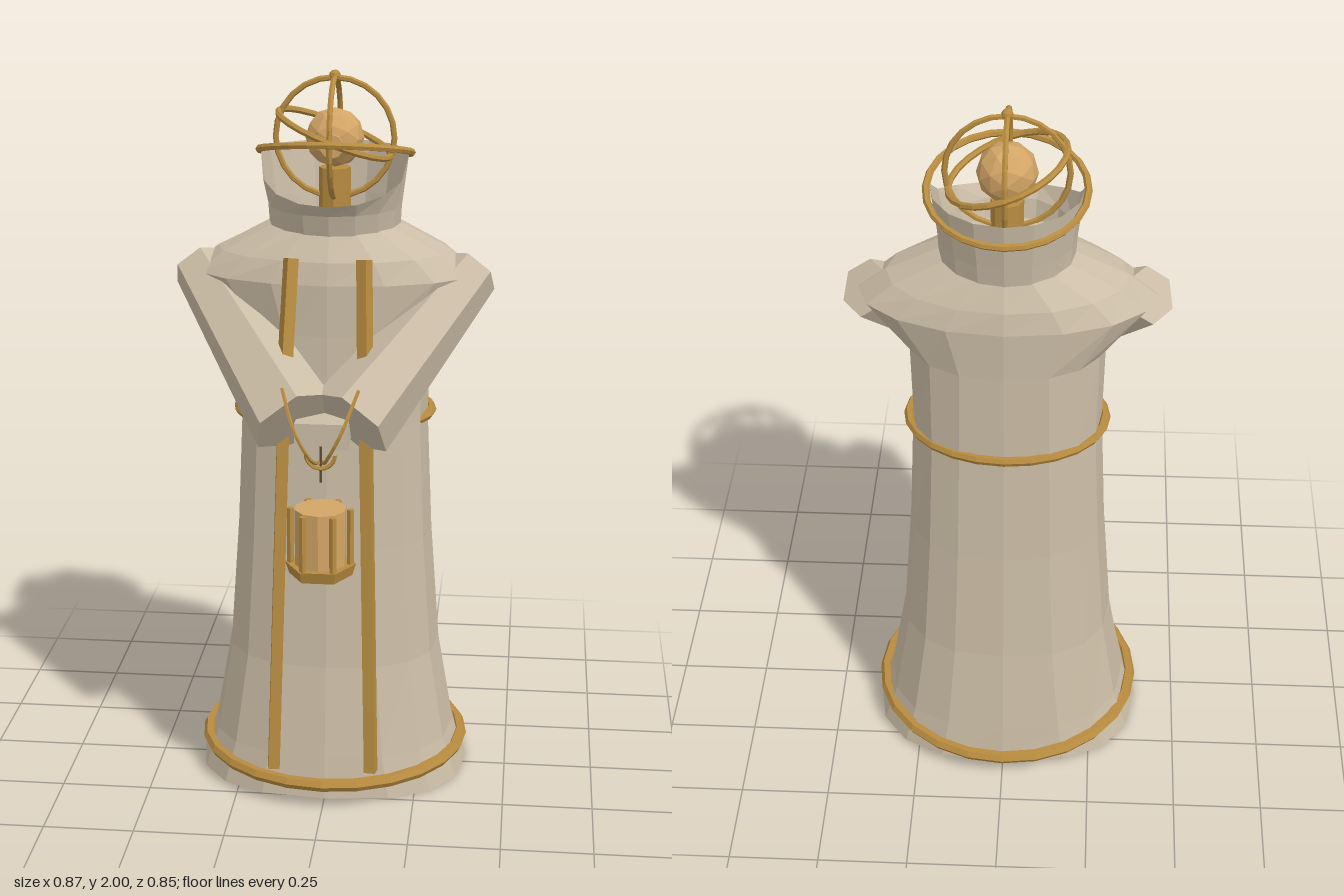
import * as THREE from 'three';

const V = (x, y, z) => new THREE.Vector3(x, y, z);
const UP = V(0, 1, 0);

function material(name, color, side = THREE.FrontSide) {
  const m = new THREE.MeshStandardMaterial({ color, flatShading: true, side });
  m.name = name;
  return m;
}

// Skin over rings of points, each ring starting at the front and turning to +x
function loft(rings, capped) {
  const n = rings[0].length, pos = [], idx = [];
  rings.forEach(r => r.forEach(p => pos.push(p.x, p.y, p.z)));
  for (let i = 0; i < rings.length - 1; i++) {
    for (let j = 0; j < n; j++) {
      const a = i * n + j, b = i * n + (j + 1) % n;
      idx.push(a, b, b + n, a, b + n, a + n);
    }
  }
  if (capped) {
    [0, rings.length - 1].forEach(i => {
      const c = rings[i].reduce((s, p) => s.add(p), V(0, 0, 0)).divideScalar(n);
      const k = pos.length / 3;
      pos.push(c.x, c.y, c.z);
      for (let j = 0; j < n; j++) {
        const a = i * n + j, b = i * n + (j + 1) % n;
        if (i === 0) idx.push(k, b, a); else idx.push(k, a, b);
      }
    });
  }
  const g = new THREE.BufferGeometry();
  g.setAttribute('position', new THREE.Float32BufferAttribute(pos, 3));
  g.setIndex(idx);
  g.computeVertexNormals();
  return g;
}

// Oval ring; a power below 1 makes it boxier, and y may vary with the angle
function oval(y, rx, rz, cz, power = 1, n = 16) {
  const soft = v => Math.sign(v) * Math.pow(Math.abs(v), power);
  return Array.from({ length: n }, (_, j) => {
    const t = j / n * Math.PI * 2, c = Math.cos(t);
    return V(rx * soft(Math.sin(t)), typeof y === 'function' ? y(c) : y, cz + rz * soft(c));
  });
}

export function createModel() {
  const model = new THREE.Group();
  const cloth = material('cloth', 0xcbbda6);
  const clothOpen = material('collarCloth', 0xcbbda6, THREE.DoubleSide);
  const gold = material('gold', 0xb88c40);
  const lamp = material('lampAmber', 0xd3a566);
  const dark = material('darkMetal', 0x5f4c30);

  function add(name, geometry, mat, position = V(0, 0, 0), parent = model) {
    const m = new THREE.Mesh(geometry, mat);
    m.name = name;
    m.position.copy(position);
    parent.add(m);
    return m;
  }
  // Straight rod from a to b
  function rod(name, a, b, ra, rb, sides, mat, parent) {
    const d = b.clone().sub(a);
    const m = add(name, new THREE.CylinderGeometry(rb, ra, d.length(), sides), mat,
      a.clone().add(b).multiplyScalar(0.5), parent);
    m.quaternion.setFromUnitVectors(UP, d.normalize());
    return m;
  }
  function ring(name, r, tube, position, rotation, segments = 24) {
    const m = add(name, new THREE.TorusGeometry(r, tube, 6, segments), gold, position);
    m.rotation.set(...rotation);
    return m;
  }

  // Robe with flared hem and wide shoulders
  add('robe', loft([
    oval(0, 0.385, 0.31, -0.045, 0.8),
    oval(0.12, 0.345, 0.295, -0.045, 0.8),
    oval(0.38, 0.3, 0.26, -0.045, 0.8),
    oval(0.72, 0.275, 0.235, -0.04, 0.8),
    oval(1.06, 0.26, 0.215, -0.038, 0.8),
    oval(1.32, 0.265, 0.21, -0.04, 0.85),
    oval(1.46, 0.395, 0.212, -0.04, 1),
    oval(1.52, 0.32, 0.2, -0.04, 1),
    oval(1.59, 0.18, 0.165, -0.045, 1),
  ], true), cloth);

  // Open collar, cut lower at the front
  const rim = c => 1.78 - 0.11 * Math.pow(Math.max(0, c), 0.6);
  add('collar', loft([
    oval(1.57, 0.178, 0.165, -0.045),
    oval(1.64, 0.182, 0.18, -0.04),
    oval(rim, 0.2, 0.203, -0.038),
  ], false), clothOpen);

  // Trim rings on the robe
  ring('hemRing', 0.368, 0.018, V(0, 0.075, -0.04), [Math.PI / 2, 0, 0]);
  ring('beltRing', 0.27, 0.014, V(0, 1.06, -0.052), [Math.PI / 2, 0, 0]).scale.y = 0.785;

  // Head lamp on its neck, inside a cage of rings
  const head = V(0, 1.82, -0.04);
  add('neck', new THREE.CylinderGeometry(0.043, 0.043, 0.16, 8), gold, V(0, 1.66, -0.04));
  add('head', new THREE.IcosahedronGeometry(0.08, 1), lamp, head);
  add('faceDisc', new THREE.CylinderGeometry(0.032, 0.032, 0.012, 10), lamp, V(0, 1.81, 0.046))
    .rotation.x = Math.PI / 2;
  ring('cageRingAcross', 0.16, 0.008, head, [0, 0, 0]);
  ring('cageRingAlong', 0.16, 0.008, head, [0, Math.PI / 2, 0]);
  ring('cageRingTilted', 0.163, 0.009, V(0, 1.83, -0.04), [Math.PI / 2, -0.37, 0]);
  ring('collarRing', 0.207, 0.01, V(0, 1.78, -0.055), [Math.PI / 2 - 0.24, 0, 0]);
  add('topKnob', new THREE.SphereGeometry(0.016, 8, 6), gold, V(0, 1.984, -0.04));

  // Sleeves, straps and handle strands, mirrored
  [[1, 'left'], [-1, 'right']].forEach(([s, side]) => {
    rod(side + 'Sleeve', V(s * 0.375, 1.46, -0.045), V(s * 0.075, 1.125, 0.295),
      0.078, 0.12, 6, cloth);
    const top = V(s * 0.097, 1.53, 0.155), bend = V(s * 0.107, 1.24, 0.23);
    rod(side + 'UpperStrap', top, bend, 0.022, 0.022, 4, gold);
    rod(side + 'LowerStrap', bend, V(s * 0.135, 0.12, 0.318), 0.022, 0.022, 4, gold);
    const strand = new THREE.CatmullRomCurve3([
      V(s * 0.1, 1.23, 0.35), V(s * 0.06, 1.13, 0.415),
      V(s * 0.02, 1.05, 0.395), V(0, 1.015, 0.3),
    ]);
    add(side + 'HandleStrand', new THREE.TubeGeometry(strand, 12, 0.005, 5), gold);
  });
  add('claspedHands', new THREE.BoxGeometry(0.14, 0.07, 0.13), cloth, V(0, 1.095, 0.27));

  // Lantern hanging in front
  const lantern = new THREE.Group();
  lantern.name = 'lantern';
  lantern.position.set(0, 0, 0.345);
  model.add(lantern);
  const loop = add('handleLoop', new THREE.TorusGeometry(0.038, 0.006, 5, 12, Math.PI), gold,
    V(0, 1.05, 0), lantern);
  loop.rotation.z = Math.PI;
  rod('hookPin', V(0, 0.97, -0.01), V(0, 1.07, -0.01), 0.004, 0.004, 6, dark, lantern);
  add('lanternGlass', new THREE.CylinderGeometry(0.07, 0.07, 0.16, 10), lamp,
    V(0, 0.822, 0), lantern);
  add('lanternBase', new THREE.CylinderGeometry(0.095, 0.085, 0.032, 6), gold,
    V(0, 0.731, 0), lantern).rotation.y = Math.PI / 2;
  for (let i = 0; i < 6; i++) {
    const a = i * Math.PI / 3, x = 0.08 * Math.cos(a), z = 0.08 * Math.sin(a);
    rod('lanternPost', V(x, 0.735, z), V(x, 0.9, z), 0.01, 0.01, 5, gold, lantern);
  }
  return model;
}
